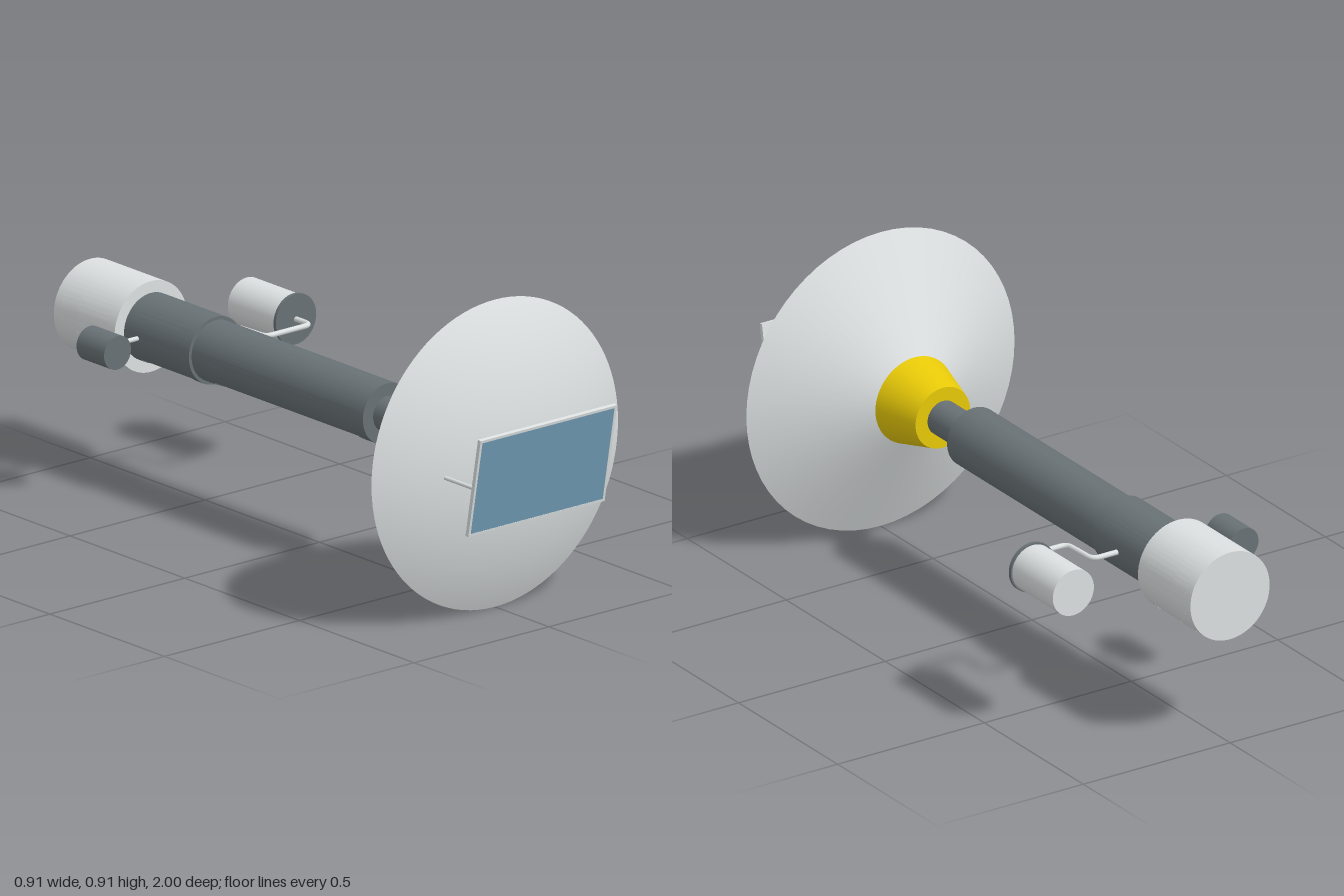
import * as THREE from 'three';
import { toCreasedNormals } from 'three/addons/utils/BufferGeometryUtils.js';

const mat = (name, color) => {
  const m = new THREE.MeshStandardMaterial({ color });
  m.name = name;
  return m;
};

export function createModel() {
  const light = mat('lightGrey', 0xdce0e0);
  const dark = mat('darkGrey', 0x687175);
  const yellow = mat('yellow', 0xe8ca08);
  const blue = mat('solarBlue', 0x729db6);
  const green = mat('boardGreen', 0x74b452);
  const purple = mat('purple', 0x7a4f88);
  const olive = mat('olive', 0xb0b45c);

  const root = new THREE.Group();
  root.name = 'spaceProbe';
  // everything is laid out around the long axis, which runs along z
  const probe = new THREE.Group();
  probe.name = 'probe';
  probe.position.y = 0.457;
  root.add(probe);

  const add = (name, geo, material, x = 0, y = 0, z = 0, parent = probe) => {
    const mesh = new THREE.Mesh(geo, material);
    mesh.name = name;
    mesh.position.set(x, y, z);
    parent.add(mesh);
    return mesh;
  };
  // round part along z from the back z0 to the front z1
  const round = (name, rBack, rFront, z0, z1, material, x = 0, open = false) =>
    add(name, new THREE.CylinderGeometry(rFront, rBack, z1 - z0, 64, 1, open).rotateX(Math.PI / 2),
      material, x, 0, (z0 + z1) / 2);
  const box = (name, w, h, d, material, x, y, z, parent) =>
    add(name, new THREE.BoxGeometry(w, h, d), material, x, y, z, parent);
  const rod = (name, points, r, material) => {
    const path = new THREE.CurvePath();
    const v = points.map(p => new THREE.Vector3(...p));
    let from = v[0];
    // straight runs joined by small rounded bends
    for (let i = 1; i < v.length - 1; i++) {
      const a = v[i].clone().add(v[i - 1].clone().sub(v[i]).setLength(0.025));
      const b = v[i].clone().add(v[i + 1].clone().sub(v[i]).setLength(0.025));
      path.add(new THREE.LineCurve3(from, a));
      path.add(new THREE.QuadraticBezierCurve3(a, v[i], b));
      from = b;
    }
    path.add(new THREE.LineCurve3(from, v[v.length - 1]));
    return add(name, new THREE.TubeGeometry(path, 80, r, 12), material);
  };
  // curved wall between two radii, from angle a0 to a1
  const wall = (name, rIn, rOut, a0, a1, z0, z1, material) => {
    const s = new THREE.Shape();
    s.absarc(0, 0, rOut, a0, a1, false);
    s.absarc(0, 0, rIn, a1, a0, true);
    s.closePath();
    const geo = new THREE.ExtrudeGeometry(s, { depth: z1 - z0, bevelEnabled: false, curveSegments: 48 });
    return add(name, toCreasedNormals(geo, 0.6), material, 0, 0, z0);
  };
  // wall that is open underneath, below the height cutY
  const bay = (name, rIn, rOut, cutY, z0, z1, material) => {
    const a = Math.asin(cutY / rOut);
    return wall(name, rIn, rOut, a, Math.PI - a, z0, z1, material);
  };

  // dish: domed front, conical back
  const R = 0.98;
  add('dishFront', new THREE.SphereGeometry(R, 96, 16, 0, Math.PI * 2, 0, Math.asin(0.457 / R))
    .rotateX(Math.PI / 2), light, 0, 0, 0.877 - R);
  round('dishBack', 0.13, 0.457, 0.595, 0.765, light, 0, true);
  round('dishCollar', 0.093, 0.132, 0.45, 0.595, yellow);
  round('neck', 0.052, 0.052, 0.28, 0.46, dark);

  // main tube with an open, lined equipment bay
  round('tubeFrontRing', 0.09, 0.09, 0.24, 0.295, dark);
  bay('tubeBody', 0.081, 0.09, -0.067, -0.39, 0.24, dark);
  round('tubeBackRing', 0.09, 0.09, -0.455, -0.39, dark);
  wall('boardLining', 0.076, 0.081, -0.2, Math.PI + 0.2, -0.39, 0.24, green);
  for (const s of [-1, 1]) {
    const [a0, a1] = s > 0 ? [-0.98, -0.2] : [Math.PI + 0.2, Math.PI + 0.98];
    wall('bayEdgeLining', 0.076, 0.081, a0, a1, -0.39, 0.225, light);
    for (let i = 0; i < 14; i++) {
      box('boardChip', 0.006, 0.006, 0.03, purple, s * 0.073, -0.015, 0.2 - i * 0.043);
    }
  }

  // sleeve with a light lining
  round('sleeveFrontRing', 0.1, 0.1, -0.48, -0.452, dark);
  bay('sleeveBody', 0.09, 0.1, -0.077, -0.705, -0.48, dark);
  bay('sleeveLining', 0.085, 0.09, -0.072, -0.705, -0.48, light);
  round('sleeveBackRing', 0.1, 0.1, -0.735, -0.705, dark);

  // rear head with its bay and a lined section at the back
  round('headFrontRing', 0.135, 0.135, -0.765, -0.735, light);
  bay('headBody', 0.12, 0.135, -0.094, -0.9, -0.765, light);
  bay('headLip', 0.12, 0.135, -0.107, -0.97, -0.9, light);
  bay('headInstrument', 0.112, 0.12, -0.095, -0.97, -0.9, olive);
  round('headBackRing', 0.135, 0.135, -1, -0.97, light);

  // large side pod on a bent arm
  round('leftPod', 0.07, 0.07, -0.735, -0.53, light, 0.355);
  round('leftPodCap', 0.075, 0.075, -0.53, -0.52, dark, 0.355);
  rod('leftPodArm', [[0.09, 0, -0.577], [0.183, 0, -0.577], [0.188, 0, -0.455],
    [0.355, 0, -0.455], [0.355, 0, -0.522]], 0.008, light);

  // small side pod on a straight arm
  round('rightPod', 0.05, 0.05, -0.735, -0.615, dark, -0.226);
  rod('rightPodArm', [[-0.09, 0, -0.677], [-0.2, 0, -0.677]], 0.007, light);

  // tilted solar panel in front of the dish
  const panel = new THREE.Group();
  panel.name = 'solarPanel';
  panel.position.set(0, 0, 0.967);
  panel.rotation.x = 0.18;
  probe.add(panel);
  box('panelBack', 0.5, 0.3, 0.006, light, 0, 0, -0.002, panel);
  box('panelCells', 0.49, 0.288, 0.004, blue, 0, 0, 0.003, panel);
  for (const s of [-1, 1]) {
    box('panelSideFrame', 0.008, 0.304, 0.012, light, s * 0.249, 0, 0, panel);
    box('panelEndFrame', 0.506, 0.008, 0.012, light, 0, s * 0.148, 0, panel);
    rod('panelArm', [[s * 0.25, 0, 0.83], [s * 0.25, 0, 0.964]], 0.006, light);
  }
  return root;
}
